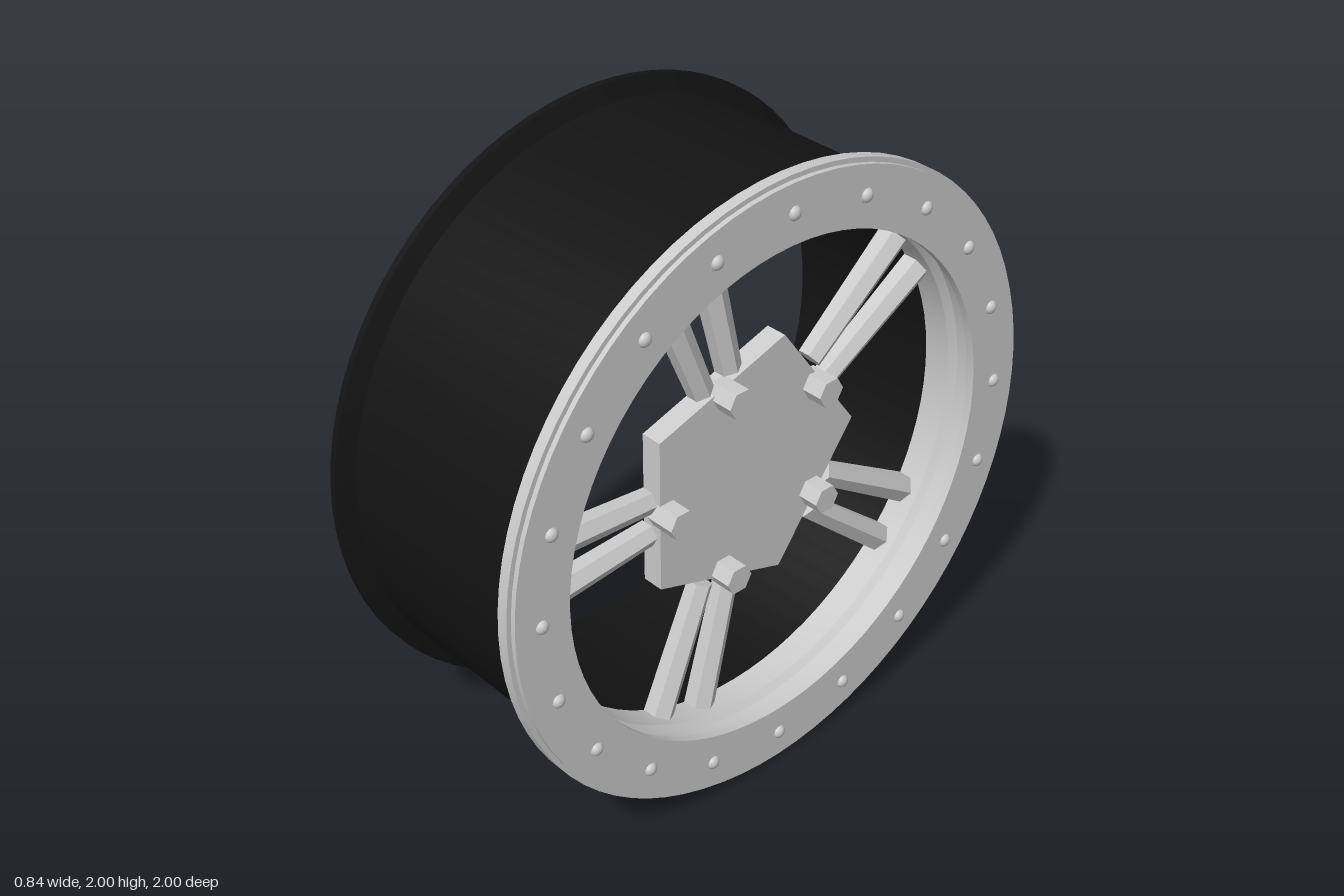
import * as THREE from 'three';
import { toCreasedNormals } from 'three/addons/utils/BufferGeometryUtils.js';

const grey = new THREE.MeshStandardMaterial({ color: 0xcccccc });
const greyFlat = new THREE.MeshStandardMaterial({ color: 0xcccccc, flatShading: true });
const black = new THREE.MeshStandardMaterial({ color: 0x131313 });

// Closed [radius, depth] profile turned around the wheel axis (local z)
function turned(name, profile, material) {
  const points = [...profile, profile[0]].map(([r, d]) => new THREE.Vector2(r, d));
  const geometry = new THREE.LatheGeometry(points, 80).rotateX(Math.PI / 2);
  const mesh = new THREE.Mesh(toCreasedNormals(geometry, 0.4), material);
  mesh.name = name;
  return mesh;
}

// Straight prism along the wheel axis, first corner at angle 0
function prism(name, radius, sides, back, front) {
  const geometry = new THREE.CylinderGeometry(radius, radius, front - back, sides);
  geometry.rotateX(Math.PI / 2).rotateZ(Math.PI / 2);
  const mesh = new THREE.Mesh(geometry, greyFlat);
  mesh.name = name;
  mesh.position.z = (back + front) / 2;
  return mesh;
}

// Tapered six-sided bar between two points in the wheel plane
function spoke(x0, y0, x1, y1) {
  const length = Math.hypot(x1 - x0, y1 - y0);
  const mesh = new THREE.Mesh(new THREE.CylinderGeometry(0.049, 0.04, length, 6), greyFlat);
  mesh.name = 'spoke';
  mesh.position.set((x0 + x1) / 2, (y0 + y1) / 2, 0.22);
  mesh.rotation.z = Math.atan2(y1 - y0, x1 - x0) - Math.PI / 2;
  return mesh;
}

export function createModel() {
  // The wheel is built facing local +z, then turned to face +x
  const wheel = new THREE.Group();
  wheel.name = 'wheel';

  // Dark barrel with a flared inner flange
  wheel.add(turned('barrel', [
    [0.89, -0.42], [0.985, -0.42], [0.99, -0.415], [0.99, -0.392],
    [0.935, -0.37], [0.935, 0.315], [0.89, 0.315],
  ], black));

  // Outer lip with a stepped bore
  wheel.add(turned('outerLip', [
    [0.9, 0.2], [0.93, 0.31], [0.938, 0.31], [1, 0.35], [1, 0.386],
    [0.83, 0.386], [0.83, 0.31], [0.81, 0.29], [0.81, 0.2],
  ], grey));

  // Clamp ring on the face
  wheel.add(turned('clampRing', [
    [0.8, 0.375], [0.985, 0.375], [0.985, 0.402], [0.8, 0.402],
  ], grey));

  // Domed bolts around the clamp ring
  const dome = new THREE.SphereGeometry(0.022, 12, 8);
  for (let i = 0; i < 20; i++) {
    const angle = (i / 20) * Math.PI * 2;
    const bolt = new THREE.Mesh(dome, grey);
    bolt.name = 'ringBolt';
    bolt.position.set(0.895 * Math.cos(angle), 0.895 * Math.sin(angle), 0.4);
    bolt.scale.z = 0.8;
    wheel.add(bolt);
  }

  // Five-sided hub plate
  wheel.add(prism('hub', 0.426, 5, 0.18, 0.25));

  // A pair of spokes and a hexagonal nut at the middle of each hub edge
  for (let i = 0; i < 5; i++) {
    const angle = ((36 + 72 * i) * Math.PI) / 180;
    const pair = new THREE.Group();
    pair.name = 'spokePair';
    pair.rotation.z = angle;
    for (const side of [-1, 1]) {
      pair.add(spoke(0.366, side * 0.055, 0.84, side * 0.09));
    }
    wheel.add(pair);

    const nut = prism('hubNut', 0.047, 6, 0.22, 0.32);
    nut.position.x = 0.32 * Math.cos(angle);
    nut.position.y = 0.32 * Math.sin(angle);
    wheel.add(nut);
  }

  wheel.rotation.y = Math.PI / 2;
  wheel.position.y = 1;
  const model = new THREE.Group();
  model.add(wheel);
  return model;
}
